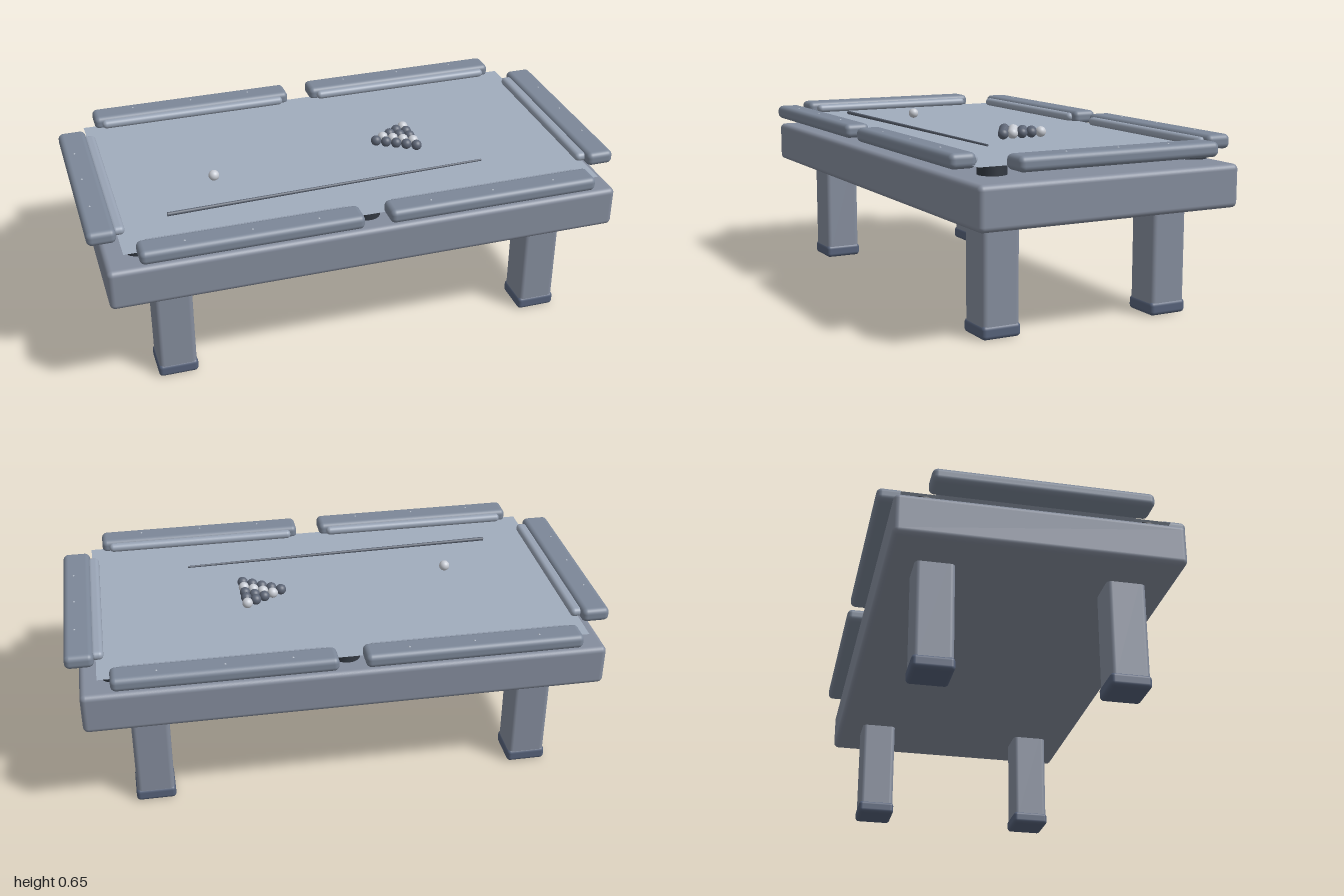
import * as THREE from 'three';
import { RoundedBoxGeometry } from 'three/addons/geometries/RoundedBoxGeometry.js';

export function createModel() {
  const table = new THREE.Group();
  table.name = 'poolTable';
  const paint = (color) => new THREE.MeshStandardMaterial({ color });
  const frame = paint(0x858d9d);
  const railPaint = paint(0x7c8798);
  const feet = paint(0x56627a);
  const clothPaint = paint(0xa1acbd);
  clothPaint.side = THREE.DoubleSide;
  const cushionPaint = paint(0x98a3b4);
  const dark = paint(0x333942);
  const sightPaint = paint(0xa6afbc);
  const cuePaint = paint(0x5a6270);
  const lightBall = paint(0xc8ccd4);
  const darkBall = paint(0x5c6474);

  function add(name, geometry, material, x, y, z) {
    const mesh = new THREE.Mesh(geometry, material);
    mesh.name = name;
    mesh.position.set(x, y, z);
    table.add(mesh);
    return mesh;
  }
  const box = (w, h, d, r) => new RoundedBoxGeometry(w, h, d, 4, r);

  // Body and playing surface
  add('body', box(1.91, 0.155, 1.022, 0.02), frame, 0, 0.4805, 0);
  const cloth = add('cloth', new THREE.PlaneGeometry(1.78, 0.96), clothPaint, 0, 0.606, 0);
  cloth.rotation.x = -Math.PI / 2;

  // Legs with feet
  const legGeo = box(0.14, 0.42, 0.141, 0.018);
  const footGeo = box(0.148, 0.05, 0.148, 0.015);
  for (const sx of [-1, 1]) {
    for (const sz of [-1, 1]) {
      add('leg', legGeo, frame, sx * 0.72, 0.235, sz * 0.34);
      add('foot', footGeo, feet, sx * 0.72, 0.025, sz * 0.34);
    }
  }

  // Rails with cushions and sight dots
  const longRail = box(0.797, 0.053, 0.098, 0.02);
  const longCushion = box(0.741, 0.033, 0.045, 0.016);
  const endRail = box(0.104, 0.053, 0.778, 0.02);
  const endCushion = box(0.045, 0.033, 0.716, 0.016);
  const sight = new THREE.SphereGeometry(0.005, 10, 8);
  for (const s of [-1, 1]) {
    for (const sx of [-1, 1]) {
      add('sideRail', longRail, railPaint, sx * 0.446, 0.6215, s * 0.508);
      add('sideCushion', longCushion, cushionPaint, sx * 0.446, 0.621, s * 0.462);
      for (const dx of [-0.238, 0, 0.238]) {
        add('sight', sight, sightPaint, sx * 0.446 + dx, 0.646, s * 0.516);
      }
    }
    add('endRail', endRail, railPaint, s * 0.948, 0.6215, 0);
    add('endCushion', endCushion, cushionPaint, s * 0.884, 0.621, 0);
    for (const z of [-0.2, 0, 0.2]) add('sight', sight, sightPaint, s * 0.96, 0.646, z);
  }

  // Pockets under the cloth edge
  const pocketGeo = new THREE.CylinderGeometry(0.05, 0.05, 0.033, 32);
  for (const sz of [-1, 1]) {
    for (const sx of [-1, 0, 1]) {
      add('pocket', pocketGeo, dark, sx * 0.83, 0.5875, sz * (sx === 0 ? 0.415 : 0.4));
    }
  }

  // Triangular rack of light and dark balls, and the cue ball
  const ballGeo = new THREE.SphereGeometry(0.02, 24, 16);
  const rack = ['d', 'ld', 'dld', 'ddld', 'lddld'];
  rack.forEach((tones, row) => {
    [...tones].forEach((tone, i) => {
      const material = tone === 'l' ? lightBall : darkBall;
      add('ball', ballGeo, material, 0.179 + row * 0.0345, 0.626, (i - row / 2) * 0.04);
    });
  });
  add('cueBall', ballGeo, lightBall, -0.484, 0.626, 0.077);

  // Cue stick, thick at the butt and tapering to the tip
  const butt = new THREE.Vector3(-0.7, 0.618, 0.285);
  const tip = new THREE.Vector3(0.515, 0.618, 0.25);
  const axis = tip.clone().sub(butt);
  const mid = butt.clone().add(tip).multiplyScalar(0.5);
  const cueGeo = new THREE.CylinderGeometry(0.004, 0.0075, axis.length(), 16);
  const cue = add('cueStick', cueGeo, cuePaint, mid.x, mid.y, mid.z);
  cue.quaternion.setFromUnitVectors(new THREE.Vector3(0, 1, 0), axis.normalize());

  return table;
}
